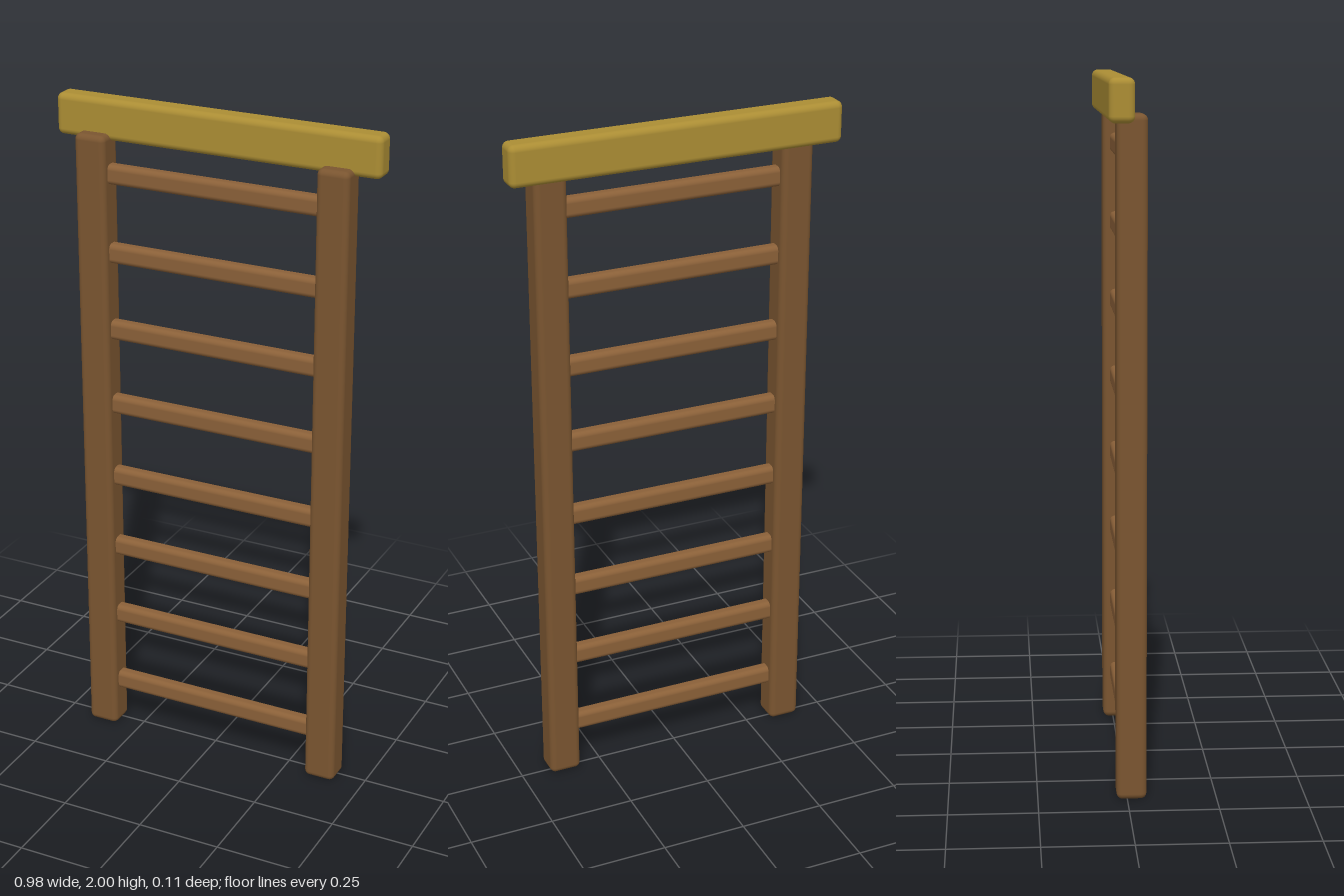
import * as THREE from 'three';
import { RoundedBoxGeometry } from 'three/addons/geometries/RoundedBoxGeometry.js';

export function createModel() {
  const group = new THREE.Group();
  const postWood = new THREE.MeshStandardMaterial({ color: 0x7a5530 });
  const rungWood = new THREE.MeshStandardMaterial({ color: 0x8a6038 });
  const barWood = new THREE.MeshStandardMaterial({ color: 0xab8d34 });

  function roundedBar(name, size, radius, material, x, y, z) {
    const mesh = new THREE.Mesh(new RoundedBoxGeometry(...size, 4, radius), material);
    mesh.name = name;
    mesh.position.set(x, y, z);
    group.add(mesh);
  }

  // Upright side posts
  for (const side of [-1, 1]) {
    roundedBar(side > 0 ? 'leftPost' : 'rightPost',
      [0.095, 1.9, 0.084], 0.017, postWood, side * 0.368, 0.953, 0.012);
  }

  // Evenly spaced rungs, ends sunk into the posts
  for (let i = 0; i < 8; i++) {
    roundedBar(`rung${i + 1}`, [0.7, 0.058, 0.042], 0.015, rungWood, 0, 0.153 + i * 0.2337, 0.012);
  }

  // Top crossbar, set behind the posts
  roundedBar('topBar', [0.982, 0.119, 0.07], 0.018, barWood, 0, 1.9405, -0.02);

  return group;
}
